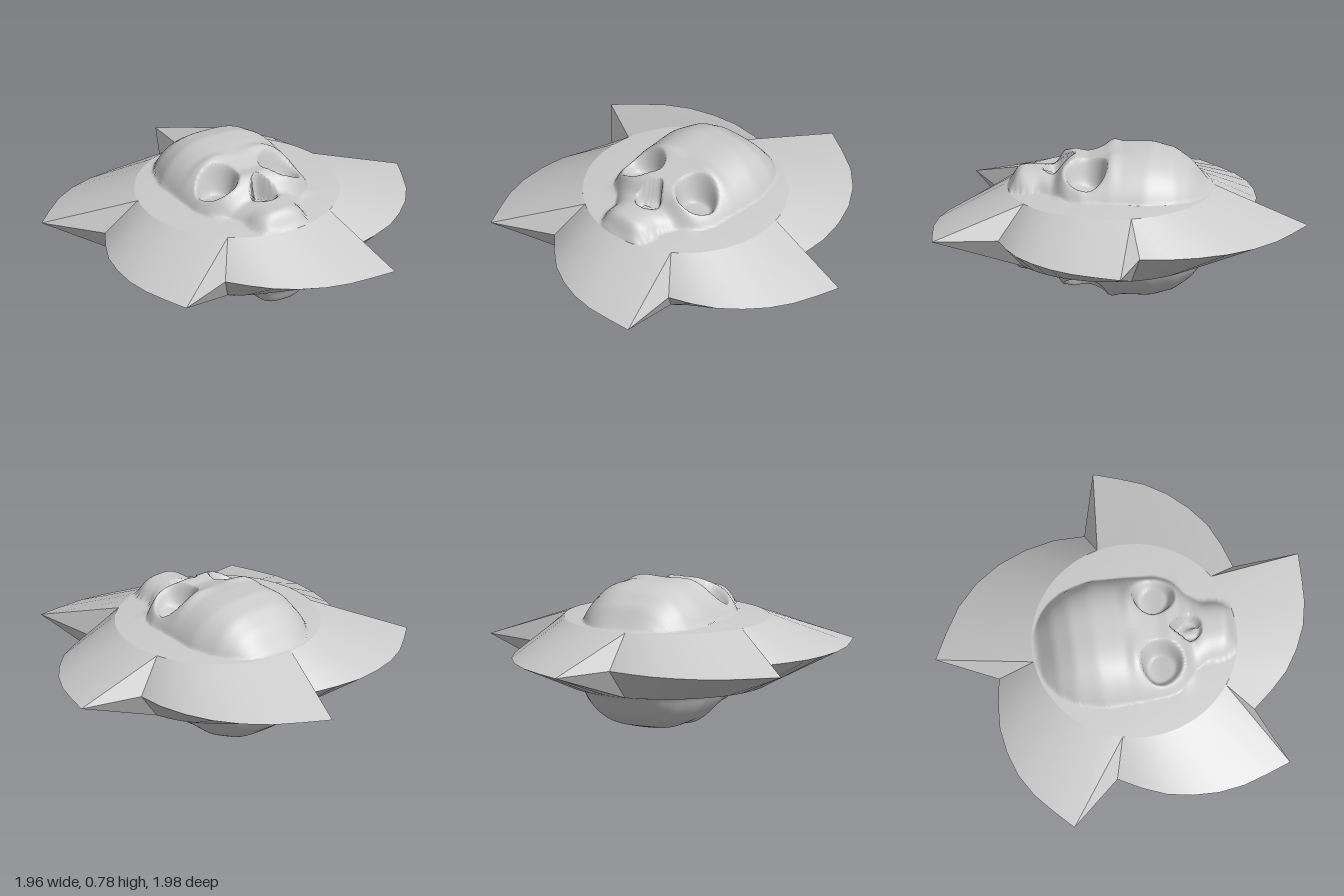
import * as THREE from 'three';

const MID = 0.3925, HALF = 0.175;            // centre plane and half thickness of the disc
const CX = -0.04, CZ = 0.05, RIM = 0.545;    // disc centre and radius
const material = new THREE.MeshStandardMaterial({ color: 0xcccccc, side: THREE.DoubleSide });
const { clamp, lerp, smoothstep, degToRad } = THREE.MathUtils;

// Smooth grid surface; side = 1 faces up, side = -1 is its mirror below the centre plane.
// point(u, v) returns [x, height above the centre plane, z].
function surface(name, nu, nv, side, point) {
  const positions = [], index = [];
  for (let j = 0; j <= nv; j++) {
    for (let i = 0; i <= nu; i++) {
      const [x, h, z] = point(i / nu, j / nv);
      positions.push(x, MID + side * h, z);
      if (i < nu && j < nv) {
        const a = j * (nu + 1) + i, b = a + 1, c = a + nu + 1, d = c + 1;
        if (side > 0) index.push(a, b, c, b, d, c);
        else index.push(a, c, b, b, c, d);
      }
    }
  }
  const geometry = new THREE.BufferGeometry();
  geometry.setAttribute('position', new THREE.Float32BufferAttribute(positions, 3));
  geometry.setIndex(index);
  geometry.computeVertexNormals();
  const mesh = new THREE.Mesh(geometry, material);
  mesh.name = name;
  return mesh;
}

// Linear table lookup, averaged over a small window to round its corners
function lookup(table, z) {
  const at = (q) => {
    let i = 1;
    while (i < table.length - 1 && table[i][0] < q) i++;
    const [z0, a] = table[i - 1], [z1, b] = table[i];
    return lerp(a, b, clamp((q - z0) / (z1 - z0), 0, 1));
  };
  return (at(z - 0.016) + at(z - 0.008) + at(z) + at(z + 0.008) + at(z + 0.016)) / 5;
}

// Skull relief: height above the disc along the middle, and half width
const RIDGE = [[-0.475, 0], [-0.45, 0.03], [-0.38, 0.12], [-0.285, 0.187], [-0.17, 0.216], [-0.05, 0.215], [0.055, 0.206],
  [0.12, 0.187], [0.17, 0.175], [0.245, 0.185], [0.29, 0.155], [0.345, 0.09], [0.4, 0.1], [0.53, 0.1], [0.56, 0.065], [0.585, 0]];
const WIDTH = [[-0.475, 0.1], [-0.44, 0.19], [-0.38, 0.26], [-0.3, 0.315], [-0.15, 0.36], [0.05, 0.355], [0.2, 0.345],
  [0.28, 0.31], [0.34, 0.23], [0.42, 0.17], [0.5, 0.165], [0.57, 0.13]];

function skullHeight(x, z) {
  const dx = Math.abs(x - CX);
  const u = dx / lookup(WIDTH, z);
  let h = lookup(RIDGE, z) * Math.pow(Math.max(0, 1 - u ** 3), 0.8);
  // soft skirt blending the bone into the disc
  const r = Math.hypot(x - CX, z - CZ) / RIM;
  h = Math.max(h, 0.03 * Math.max(0, 1 - r ** 2));
  // brow ridge and cheekbones
  h += 0.016 * Math.exp(-(((dx - 0.17) / 0.1) ** 2) - ((z - 0.035) / 0.035) ** 2);
  h += 0.022 * Math.exp(-(((dx - 0.2) / 0.08) ** 2) - ((z - 0.3) / 0.035) ** 2);
  // eye sockets, steep under the brow and shallow toward the cheek
  const ez = (z - 0.165) / (z < 0.165 ? 0.105 : 0.13);
  const eye = ((dx - 0.19) / 0.118) ** 2 + ez * ez;
  const floor = 0.025 + 0.035 * smoothstep(z, 0.12, 0.28);
  h = lerp(h, Math.min(h, floor), 1 - smoothstep(eye, 0.35, 1.05));
  // drop-shaped nose opening with a thin central wall
  const noseWidth = 0.035 + 0.042 * smoothstep(z, 0.23, 0.36);
  const nose = (dx / noseWidth) ** 2 + ((z - 0.325) / 0.088) ** 2;
  const wall = 0.05 * Math.exp(-((dx / 0.012) ** 2)) * smoothstep(z, 0.3, 0.38);
  return lerp(h, Math.min(h, 0.03 + wall), 1 - smoothstep(nose, 0.55, 1.0));
}

// Rim angle where each blade starts, and its outer edge from tip to valley as [x, z]
const STARTS = [-95.3, -13.8, 55.6, 124.4, 193.8, 264.7].map(degToRad);
const EDGES = [
  [[0.05, -1.0], [0.37, -0.81], [0.565, -0.55], [0.645, -0.25], [0.64, -0.13]],
  [[0.98, -0.04], [0.86, 0.28], [0.63, 0.52], [0.37, 0.63]],
  [[0.4, 0.98], [0.05, 0.97], [-0.235, 0.845], [-0.44, 0.64]],
  [[-0.76, 0.79], [-0.875, 0.46], [-0.86, 0.13], [-0.74, -0.13]],
  [[-0.98, -0.39], [-0.71, -0.62], [-0.395, -0.71], [-0.1, -0.68]],
];
const rimPoint = (a, r = RIM) => [CX + r * Math.cos(a), CZ + r * Math.sin(a)];

// Wall in the notch between two blades, one flat triangle above and one below
function notchWall(i) {
  const [rx, rz] = rimPoint(STARTS[i]);
  const [tx, tz] = EDGES[i][0];
  const [vx, vz] = EDGES[(i + 4) % 5].at(-1);
  const geometry = new THREE.BufferGeometry();
  geometry.setAttribute('position', new THREE.Float32BufferAttribute([
    rx, MID + HALF, rz, tx, MID, tz, vx, MID, vz,
    rx, MID - HALF, rz, vx, MID, vz, tx, MID, tz,
  ], 3));
  geometry.computeVertexNormals();
  const mesh = new THREE.Mesh(geometry, material);
  mesh.name = 'notchWall';
  return mesh;
}

export function createModel() {
  const model = new THREE.Group();
  model.name = 'skullThrowingStar';

  // Skull relief on the disc, above and below
  for (const side of [1, -1]) {
    model.add(surface(side > 0 ? 'topSkull' : 'bottomSkull', 144, 72, side, (u, v) => {
      const [x, z] = rimPoint(u * Math.PI * 2, v * RIM);
      return [x, HALF + (v < 1 ? skullHeight(x, z) : 0), z];
    }));
  }

  // Five curved blades with a notch before each
  EDGES.forEach((edge, i) => {
    const blade = new THREE.Group();
    blade.name = 'blade';
    const curve = new THREE.SplineCurve(edge.map(([x, z]) => new THREE.Vector2(x, z)));
    for (const side of [1, -1]) {
      blade.add(surface(side > 0 ? 'bladeTop' : 'bladeBottom', 7, 1, side, (u, v) => {
        const [rx, rz] = rimPoint(lerp(STARTS[i], STARTS[i + 1], u));
        const outer = curve.getPointAt(u);
        return [lerp(rx, outer.x, v), HALF * (1 - v), lerp(rz, outer.y, v)];
      }));
    }
    blade.add(notchWall(i));
    model.add(blade);
  });
  return model;
}
